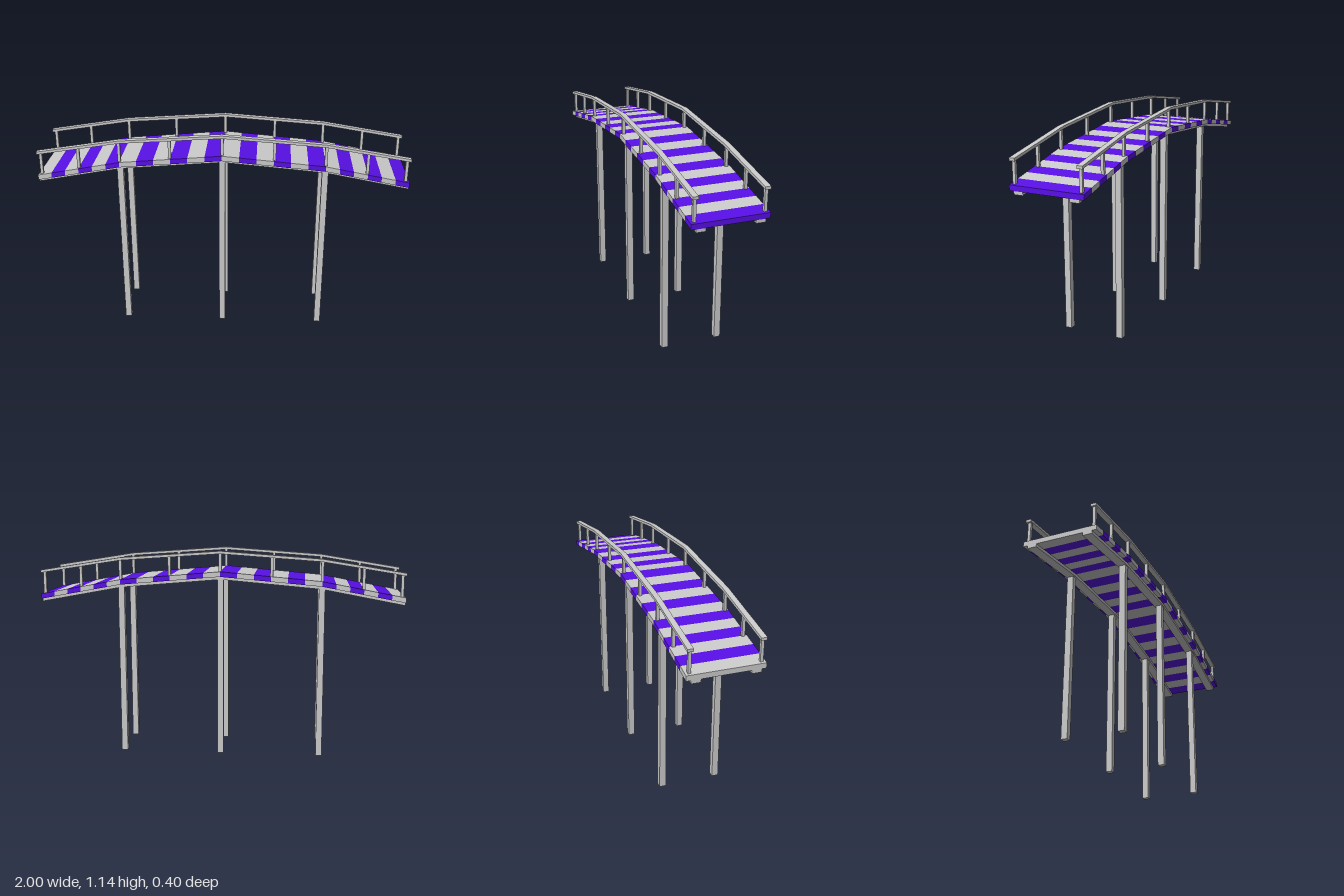
import * as THREE from 'three';

const BEND = 0.553; // x of the outer bends, above the outer posts
const DECK = [[-1, 0.902], [-BEND, 0.985], [0, 1.033], [BEND, 0.985], [1, 0.902]];
const RAIL = [[-1, 1.033], [-BEND, 1.105], [0, 1.144], [BEND, 1.105], [1, 1.033]];

// Height of a bent line at x
function heightAt(line, x) {
  let i = 0;
  while (i < line.length - 2 && x > line[i + 1][0]) i++;
  const [x0, y0] = line[i], [x1, y1] = line[i + 1];
  return THREE.MathUtils.lerp(y0, y1, (x - x0) / (x1 - x0));
}

// Strip that follows a line of points, with a given height below it and a width in z
function strip(points, height, width) {
  const top = points.map(([x, y]) => new THREE.Vector2(x, y));
  const bottom = points.map(([x, y]) => new THREE.Vector2(x, y - height)).reverse();
  const geometry = new THREE.ExtrudeGeometry(new THREE.Shape([...bottom, ...top]), {
    depth: width, bevelEnabled: false,
  });
  return geometry.translate(0, 0, -width / 2);
}

export function createModel() {
  const group = new THREE.Group();
  const grey = new THREE.MeshStandardMaterial({ color: 0xcccccc });
  const purple = new THREE.MeshStandardMaterial({ color: 0x5810e6 });

  function add(name, geometry, material, z = 0) {
    const mesh = new THREE.Mesh(geometry, material);
    mesh.name = name;
    mesh.position.z = z;
    group.add(mesh);
    return mesh;
  }

  // Deck: six planks per slope, alternating grey and purple
  for (let s = 0; s < 4; s++) {
    const x0 = DECK[s][0], x1 = DECK[s + 1][0];
    for (let i = 0; i < 6; i++) {
      const ends = [i / 6, (i + 1) / 6].map((t) => {
        const x = THREE.MathUtils.lerp(x0, x1, t);
        return [x, heightAt(DECK, x)];
      });
      add('plank', strip(ends, 0.028, 0.4), i % 2 ? purple : grey);
    }
  }

  const beamLine = DECK.map(([x, y]) => [x, y - 0.028]);
  for (const side of [-1, 1]) {
    // Beam under the deck and handrail above it
    add('beam', strip(beamLine, 0.017, 0.05), grey, side * 0.151);
    add('handrail', strip(RAIL, 0.015, 0.03), grey, side * 0.18);

    // Tall square support posts
    for (const x of [-BEND, 0, BEND]) {
      const h = heightAt(DECK, x) - 0.036;
      const post = add('supportPost', new THREE.BoxGeometry(0.034, h, 0.035), grey, side * 0.153);
      post.position.set(x, h / 2, side * 0.153);
    }

    // Railing balusters
    for (const x of [-0.98, -0.775, -BEND, -0.28, 0, 0.28, BEND, 0.775, 0.98]) {
      const y0 = heightAt(DECK, x) - 0.006;
      const y1 = heightAt(RAIL, x) - 0.008;
      const baluster = add('baluster', new THREE.BoxGeometry(0.016, y1 - y0, 0.016), grey);
      baluster.position.set(x, (y0 + y1) / 2, side * 0.179);
    }
  }

  return group;
}
